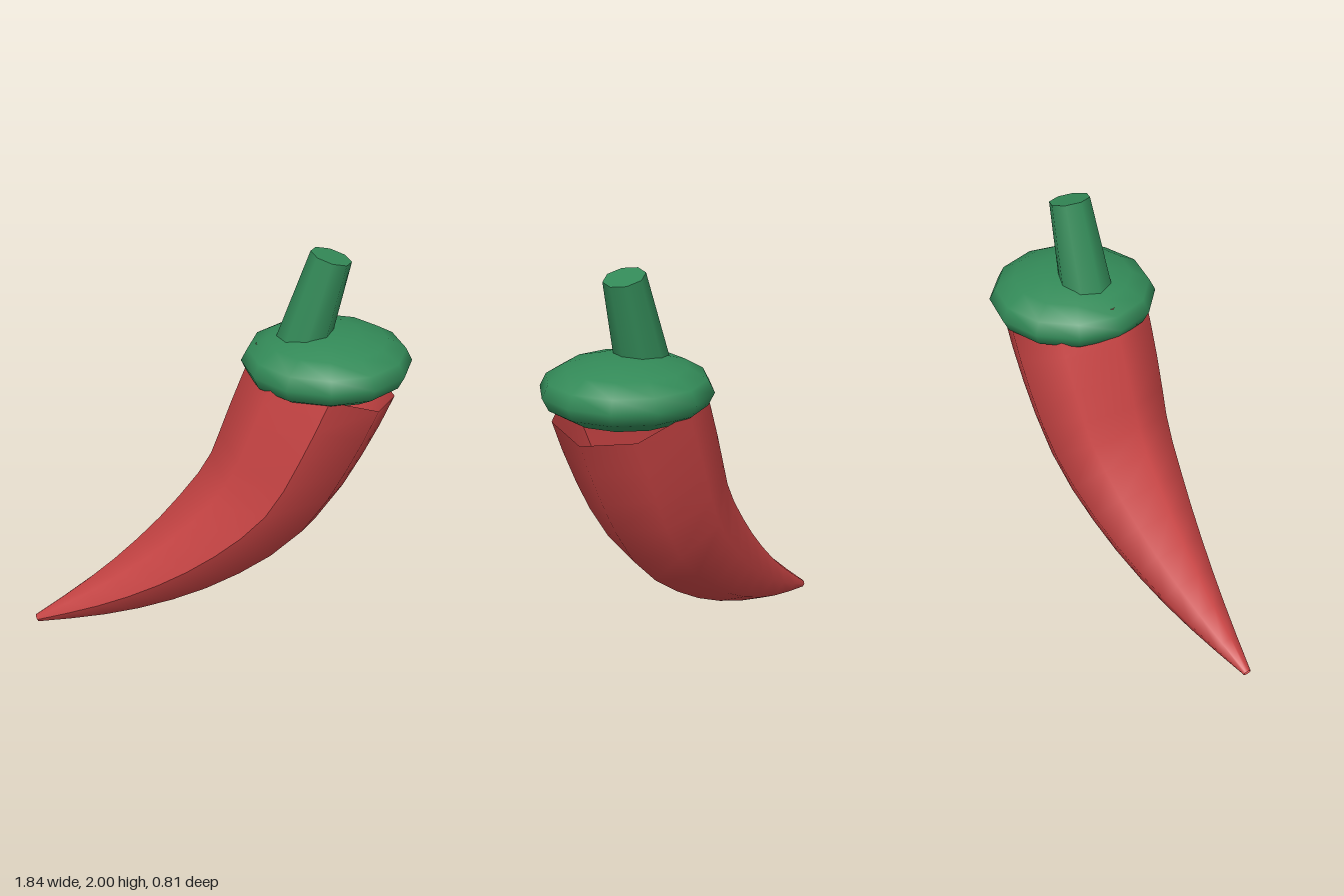
import * as THREE from 'three';

const RED = 0xc94444, GREEN = 0x338a58;

function part(name, geometry, color, side = THREE.FrontSide) {
  const mesh = new THREE.Mesh(geometry, new THREE.MeshStandardMaterial({ color, side }));
  mesh.name = name;
  return mesh;
}

// Tube along a curve whose radius changes with t (0 at the start, 1 at the end)
function taperedTube(curve, segments, sides, radiusAt) {
  const geometry = new THREE.TubeGeometry(curve, segments, 1, sides, false);
  const pos = geometry.attributes.position;
  const v = new THREE.Vector3();
  for (let i = 0; i <= segments; i++) {
    const t = i / segments;
    const centre = curve.getPointAt(t);
    for (let j = 0; j <= sides; j++) {
      const k = i * (sides + 1) + j;
      v.fromBufferAttribute(pos, k).sub(centre).multiplyScalar(radiusAt(t)).add(centre);
      pos.setXYZ(k, v.x, v.y, v.z);
    }
  }
  geometry.computeVertexNormals();
  return geometry;
}

export function createModel() {
  const group = new THREE.Group();
  group.name = 'chiliPepper';

  // Curved pod, from the pointed tip up to the open rim under the cap
  const spine = new THREE.CatmullRomCurve3([
    [-0.915, 0.02], [-0.6, 0.155], [-0.3, 0.32], [-0.015, 0.53],
    [0.225, 0.78], [0.385, 1.1], [0.51, 1.4],
  ].map(([x, y]) => new THREE.Vector3(x, y, 0)));
  const podRadius = (t) => 0.02 + 0.34 * Math.sin(t * Math.PI / 2);
  group.add(part('pod', taperedTube(spine, 12, 8, podRadius), RED, THREE.DoubleSide));

  // Flattened cap
  const cap = part('cap', new THREE.SphereGeometry(0.405, 12, 8), GREEN);
  cap.scale.y = 0.395;
  cap.position.set(0.512, 1.45, 0);
  group.add(cap);

  // Leaning, slightly tapered stem
  const stem = part('stem', new THREE.CylinderGeometry(0.1, 0.13, 0.48, 8), GREEN);
  stem.rotation.z = -0.28;
  stem.position.set(0.454, 1.742, 0);
  group.add(stem);

  return group;
}
